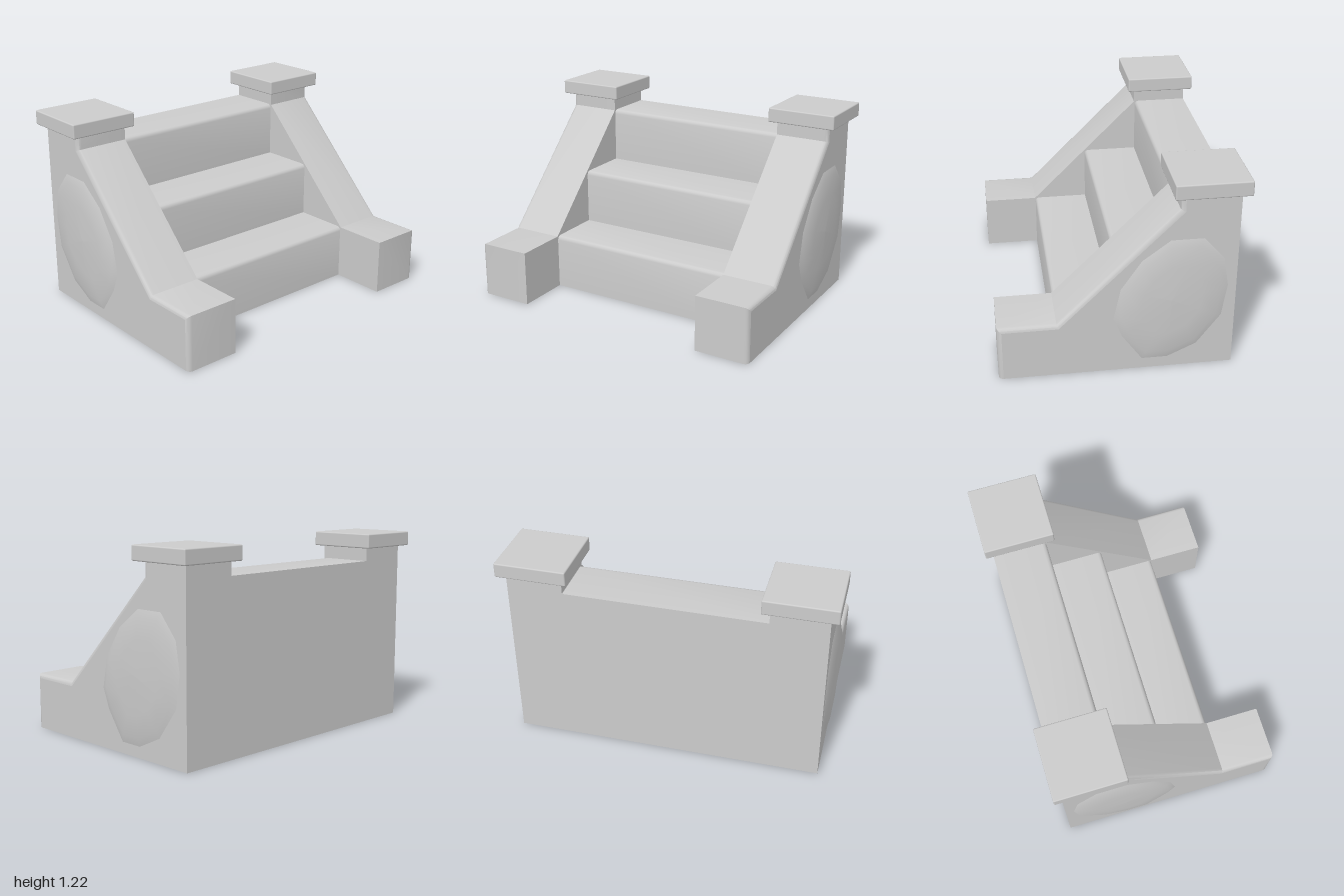
import * as THREE from 'three';
import { toCreasedNormals } from 'three/addons/utils/BufferGeometryUtils.js';
import { RoundedBoxGeometry } from 'three/addons/geometries/RoundedBoxGeometry.js';

const INNER = 0.61, OUTER = 0.95, BACK = -0.67, BEVEL = 0.027;
const stone = new THREE.MeshStandardMaterial({ color: 0xcccccc, side: THREE.DoubleSide });

function add(parent, name, geometry) {
  const mesh = new THREE.Mesh(geometry, stone);
  mesh.name = name;
  parent.add(mesh);
  return mesh;
}

// Skin through rows of [x, y, z] points
function skin(rows, crease = 0.62, closed = false) {
  const pos = [];
  for (let r = 0; r < rows.length - 1; r++) {
    const a = rows[r], b = rows[r + 1], n = a.length;
    for (let i = 0; i < (closed ? n : n - 1); i++) {
      const j = (i + 1) % n;
      pos.push(...a[i], ...b[i], ...a[j], ...b[i], ...b[j], ...a[j]);
    }
  }
  const g = new THREE.BufferGeometry();
  g.setAttribute('position', new THREE.Float32BufferAttribute(pos, 3));
  g.computeVertexNormals();
  return toCreasedNormals(g, crease);
}

// Flat side face from [z, y] points at a given x, facing +x or -x
function sideFace(points, x, sign) {
  const shape = new THREE.Shape(points.map(([z, y]) => new THREE.Vector2(-sign * z, y)));
  return new THREE.ShapeGeometry(shape).rotateY(sign * Math.PI / 2).translate(x, 0, 0);
}

// Wall outline [z, y] from front foot to post top, moved inwards by d
const wallOutline = (d) => [
  [0.71 - d, 0], [0.71 - d, 0.347 - d], [0.367 - 0.414 * d, 0.347 - d],
  [-0.33 - d, 1.044 - 0.414 * d], [-0.33 - d, 1.13],
];

// Three steps with rounded nosings, [z, y]
function stepOutline() {
  const pts = [];
  [0.363, 0.012, -0.335].forEach((z, i) => {
    const top = 0.349 * (i + 1);
    pts.push([z, top - 0.349]);
    for (let k = 0; k <= 3; k++) {
      const t = k * Math.PI / 6;
      pts.push([z - BEVEL * (1 - Math.cos(t)), top - BEVEL * (1 - Math.sin(t))]);
    }
  });
  pts.push([BACK, 1.047]);
  return pts;
}

// Shallow faceted oval boss, bulging on both sides of the wall
function bossGeometry() {
  const rim = [
    [0.04, 0.365], [0, 0.56], [-0.12, 0.74], [-0.28, 0.86], [-0.47, 0.86], [-0.59, 0.72],
    [-0.62, 0.54], [-0.59, 0.34], [-0.45, 0.15], [-0.28, 0.07], [-0.13, 0.07], [-0.01, 0.24],
  ];
  const cz = -0.29, cy = 0.48;
  const rings = [[0.001, -0.028], [0.6, -0.022], [1, 0.003], [0.88, 0.016], [0.55, 0.027], [0.001, 0.032]];
  const rows = rings.map(([s, h]) =>
    rim.map(([z, y]) => [OUTER + h, cy + (y - cy) * s, cz + (z - cz) * s]));
  return skin(rows, 0.3, true);
}

// One side wall with its post, cap and boss, on +x
function sideWall() {
  const wall = new THREE.Group();
  const rows = [wallOutline(0).map(([z, y]) => [INNER, y, z])];
  for (let k = 0; k <= 3; k++) {
    const t = k * Math.PI / 6;
    const x = OUTER - BEVEL * (1 - Math.sin(t));
    rows.push(wallOutline(BEVEL * (1 - Math.cos(t))).map(([z, y]) => [x, y, z]));
  }
  add(wall, 'wallTop', skin(rows));
  add(wall, 'wallOuterFace', sideFace([...wallOutline(BEVEL), [BACK, 1.13], [BACK, 0]], OUTER, 1));
  // The inner face stops at the steps, leaving the underside hollow
  add(wall, 'wallInnerFace',
    sideFace([...wallOutline(0), [BACK, 1.13], ...stepOutline().reverse()], INNER, -1));
  add(wall, 'boss', bossGeometry());
  add(wall, 'postCap', new RoundedBoxGeometry(0.434, 0.09, 0.432, 2, 0.008))
    .position.set(0.783, 1.175, -0.501);
  return wall;
}

export function createModel() {
  const model = new THREE.Group();
  model.name = 'staircase';

  for (const side of [1, -1]) {
    const wall = sideWall();
    wall.name = side > 0 ? 'leftWall' : 'rightWall';
    wall.scale.x = side;
    model.add(wall);
  }

  const outline = stepOutline();
  add(model, 'steps', skin([-INNER, INNER].map((x) => outline.map(([z, y]) => [x, y, z]))));

  // Back wall, lower between the posts
  const back = new THREE.Shape([
    [-OUTER, 0], [OUTER, 0], [OUTER, 1.13], [INNER, 1.13],
    [INNER, 1.047], [-INNER, 1.047], [-INNER, 1.13], [-OUTER, 1.13],
  ].map(([x, y]) => new THREE.Vector2(x, y)));
  add(model, 'backWall', new THREE.ShapeGeometry(back).rotateY(Math.PI).translate(0, 0, BACK));

  return model;
}
